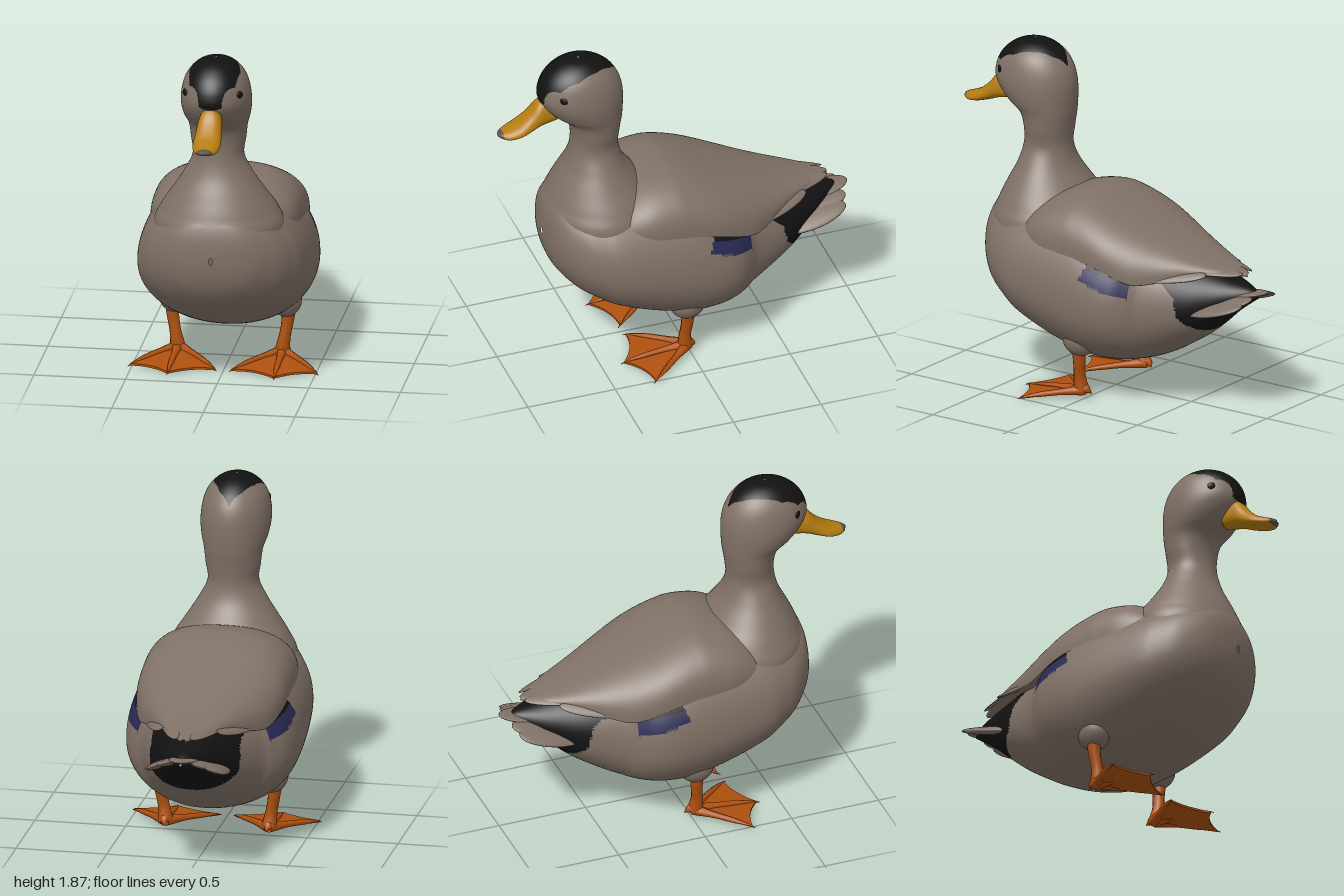
import * as THREE from 'three';

const mat = (name, color, side = THREE.FrontSide) => {
  const m = new THREE.MeshStandardMaterial({ color, side });
  m.name = name;
  return m;
};

// Smoothly sample a table of rows at t in 0..1
function sample(table, t) {
  const f = t * (table.length - 1);
  const i = Math.min(Math.floor(f), table.length - 2);
  const u = f - i;
  const row = k => table[Math.max(0, Math.min(table.length - 1, k))];
  return table[0].map((_, c) => {
    const [a, b, d, e] = [row(i - 1)[c], row(i)[c], row(i + 1)[c], row(i + 2)[c]];
    return b + 0.5 * u * (d - a + u * (2 * a - 5 * b + 4 * d - e + u * (3 * (b - d) + e - a)));
  });
}

// Piecewise linear lookup in rows of [key, value], keys ascending
function lookup(rows, k) {
  if (k <= rows[0][0]) return rows[0][1];
  for (let i = 1; i < rows.length; i++) {
    const [[a, va], [b, vb]] = [rows[i - 1], rows[i]];
    if (k <= b) return va + (vb - va) * (k - a) / (b - a);
  }
  return rows[rows.length - 1][1];
}

// Skin closed rings: point(row, angle) gives a position for each sampled row
function loft(table, rings, sides, point) {
  const pos = [], idx = [];
  for (let i = 0; i <= rings; i++) {
    const row = sample(table, i / rings);
    for (let j = 0; j < sides; j++) pos.push(...point(row, j / sides * Math.PI * 2));
  }
  for (let i = 0; i < rings; i++) for (let j = 0; j < sides; j++) {
    const a = i * sides + j, b = i * sides + (j + 1) % sides;
    idx.push(a, b, a + sides, b, b + sides, a + sides);
  }
  // Turn the faces outward if the enclosed volume is negative
  const v = k => new THREE.Vector3(pos[k * 3], pos[k * 3 + 1], pos[k * 3 + 2]);
  let volume = 0;
  for (let k = 0; k < idx.length; k += 3) volume += v(idx[k]).dot(v(idx[k + 1]).cross(v(idx[k + 2])));
  if (volume < 0) idx.reverse();
  const g = new THREE.BufferGeometry();
  g.setAttribute('position', new THREE.Float32BufferAttribute(pos, 3));
  g.setIndex(idx);
  g.computeVertexNormals();
  return g;
}

// Sort faces into material groups by a rule on the face centre
function paint(g, count, rule) {
  const p = g.attributes.position, old = g.index.array;
  const lists = Array.from({ length: count }, () => []);
  for (let k = 0; k < old.length; k += 3) {
    const tri = [old[k], old[k + 1], old[k + 2]];
    const mean = f => (f(tri[0]) + f(tri[1]) + f(tri[2])) / 3;
    lists[rule(mean(i => p.getX(i)), mean(i => p.getY(i)), mean(i => p.getZ(i)))].push(...tri);
  }
  g.setIndex(lists.flat());
  let start = 0;
  lists.forEach((l, m) => { g.addGroup(start, l.length, m); start += l.length; });
  return g;
}

const power = (c, e) => Math.sign(c) * Math.pow(Math.abs(c), e);

// Tube with a radius for each path point
function taper(points, radii, rings = 16, sides = 12) {
  const curve = new THREE.CatmullRomCurve3(points.map(p => new THREE.Vector3(...p)));
  const g = new THREE.TubeGeometry(curve, rings, 1, sides);
  const p = g.attributes.position, v = new THREE.Vector3();
  for (let i = 0; i < p.count; i++) {
    const t = Math.floor(i / (sides + 1)) / rings, c = curve.getPointAt(t);
    const r = sample(radii.map(x => [x]), t)[0];
    v.fromBufferAttribute(p, i).sub(c).multiplyScalar(r).add(c);
    p.setXYZ(i, v.x, v.y, v.z);
  }
  g.computeVertexNormals();
  return g;
}

export function createModel() {
  const duck = new THREE.Group();
  duck.name = 'duck';
  const plumage = mat('taupe plumage', 0x807166), black = mat('black plumage', 0x121212);
  const blue = mat('blue wing patch', 0x2a2a55), billMat = mat('yellow bill', 0xb57d0e);
  const skin = mat('orange skin', 0xae500f, THREE.DoubleSide), nail = mat('grey nail', 0x5a5148);
  const add = (name, g, m, parent = duck) => {
    const mesh = new THREE.Mesh(g, m);
    mesh.name = name;
    parent.add(mesh);
    return mesh;
  };

  // Body: z, top, bottom, half width
  const bodyRows = [
    [0.745, 0.80, 0.76, 0.01], [0.73, 0.92, 0.66, 0.14], [0.69, 1.0, 0.565, 0.25], [0.6, 1.04, 0.46, 0.355],
    [0.5, 1.05, 0.39, 0.415], [0.4, 1.06, 0.33, 0.45], [0.2, 1.07, 0.25, 0.47], [0, 1.06, 0.2, 0.475],
    [-0.15, 1.01, 0.205, 0.465], [-0.25, 0.97, 0.225, 0.435], [-0.32, 0.93, 0.245, 0.385],
    [-0.37, 0.91, 0.265, 0.34], [-0.45, 0.88, 0.305, 0.3], [-0.6, 0.82, 0.4, 0.235], [-0.7, 0.79, 0.48, 0.18],
    [-0.8, 0.76, 0.57, 0.12], [-0.9, 0.73, 0.645, 0.05], [-0.95, 0.7, 0.68, 0.005]];
  const body = loft(bodyRows, 170, 120, ([z, top, bot, w], a) => {
    const mid = bot + 0.45 * (top - bot), s = Math.sin(a);
    return [w * power(Math.cos(a), 0.95), mid + power(s, 0.95) * (s > 0 ? top - mid : mid - bot), z];
  });
  const rumpEdge = [[0.44, -0.69], [0.46, -0.68], [0.55, -0.58], [0.67, -0.55], [0.74, -0.47]];
  add('body', paint(body, 3, (x, y, z) => {
    if (z < lookup(rumpEdge, y)) return 1;
    const drop = y - (0.73 + 0.3 * (z + 0.06));
    if (z < -0.06 - drop * 0.4 && z > -0.33 && drop > 0 && drop < 0.15) return drop > 0.075 ? 1 : 2;
    return 0;
  }), [plumage, black, blue]);

  // Neck and head: y, front z, back z, half width
  const neckRows = [
    [0.7, 0.68, 0.1, 0.35], [0.9, 0.725, 0.12, 0.355], [1.0, 0.7, 0.14, 0.315], [1.1, 0.655, 0.22, 0.25],
    [1.2, 0.605, 0.29, 0.187], [1.3, 0.58, 0.317, 0.14], [1.4, 0.577, 0.31, 0.15], [1.48, 0.605, 0.297, 0.16],
    [1.54, 0.68, 0.292, 0.178], [1.6, 0.735, 0.29, 0.189], [1.66, 0.765, 0.293, 0.19], [1.72, 0.76, 0.307, 0.181],
    [1.77, 0.738, 0.332, 0.165], [1.81, 0.706, 0.364, 0.14], [1.845, 0.66, 0.41, 0.104],
    [1.868, 0.605, 0.465, 0.06], [1.877, 0.54, 0.53, 0.004]];
  const neck = loft(neckRows, 170, 120, ([y, f, b, w], a) =>
    [w * Math.cos(a), y, (f + b) / 2 + (f - b) / 2 * Math.sin(a)]);
  const capWidth = [[0.32, 0], [0.38, 0.06], [0.47, 0.11], [0.58, 0.14], [0.68, 0.125], [0.73, 0.08], [0.77, 0.05]];
  const capEdge = [[0.32, 1.73], [0.38, 1.805], [0.6, 1.8], [0.68, 1.75], [0.73, 1.7], [0.77, 1.62]];
  add('neckAndHead', paint(neck, 2, (x, y, z) =>
    Math.abs(x) < lookup(capWidth, z) && y > lookup(capEdge, z) ? 1 : 0), [plumage, black]);

  // Bill: z, top, bottom, half width
  const billRows = [
    [0.67, 1.66, 1.51, 0.055], [0.76, 1.645, 1.495, 0.066], [0.82, 1.58, 1.475, 0.071], [0.88, 1.53, 1.458, 0.076],
    [0.94, 1.502, 1.45, 0.064], [0.98, 1.488, 1.457, 0.038], [1.0, 1.477, 1.467, 0.005]];
  const bill = loft(billRows, 60, 40, ([z, top, bot, w], a) => {
    const mid = bot + 0.35 * (top - bot), s = Math.sin(a);
    return [w * power(Math.cos(a), 0.8), mid + s * (s > 0 ? top - mid : mid - bot), z];
  });
  add('bill', paint(bill, 2, (x, y, z) => z > 0.972 ? 1 : 0), [billMat, nail]);

  // Folded wings over the back: z, half width, edge y, top y
  const wingRows = [
    [0.45, 0.24, 0.88, 0.93], [0.38, 0.345, 0.86, 1.02], [0.25, 0.4, 0.85, 1.1], [0.1, 0.412, 0.84, 1.13],
    [0, 0.412, 0.83, 1.115], [-0.1, 0.41, 0.815, 1.08], [-0.2, 0.4, 0.785, 1.038], [-0.34, 0.36, 0.735, 0.98],
    [-0.45, 0.3, 0.745, 0.935], [-0.6, 0.205, 0.79, 0.88], [-0.75, 0.115, 0.8, 0.838], [-0.88, 0.01, 0.8, 0.808]];
  add('foldedWings', loft(wingRows, 70, 72, ([z, w, edge, top], a) => {
    const s = Math.sin(a);
    return [w * power(Math.cos(a), 0.8), edge + power(s, 0.8) * (s > 0 ? top - edge : 0.012), z];
  }), plumage);

  // Flat feather between two points
  const feather = (name, from, to, width, thick, roll) => {
    const a = new THREE.Vector3(...from), b = new THREE.Vector3(...to);
    const f = add(name, new THREE.SphereGeometry(1, 24, 16), plumage);
    f.scale.set(width, thick, a.distanceTo(b) / 2);
    f.position.copy(a).add(b).multiplyScalar(0.5);
    f.lookAt(b);
    f.rotateZ(roll);
  };
  feather('middleTailFeather', [0, 0.66, -0.7], [0, 0.715, -1.0], 0.08, 0.018, 0);

  for (const s of [1, -1]) {
    const side = s > 0 ? 'left' : 'right';
    feather(side + 'OuterTailFeather', [s * 0.15, 0.575, -0.56], [s * 0.15, 0.665, -0.94], 0.08, 0.022, s * 0.35);
    feather(side + 'InnerTailFeather', [s * 0.08, 0.61, -0.6], [s * 0.09, 0.69, -0.96], 0.08, 0.022, s * 0.3);
    feather(side + 'LongWingFeather', [s * 0.3, 0.76, -0.32], [s * 0.155, 0.805, -0.71], 0.05, 0.014, s * 0.6);
    feather(side + 'WingTipFeather', [s * 0.2, 0.83, -0.45], [s * 0.04, 0.808, -0.87], 0.045, 0.012, s * 0.4);

    const eye = add(side + 'Eye', new THREE.SphereGeometry(1, 16, 12), black);
    eye.scale.set(0.008, 0.02, 0.022);
    eye.position.set(s * 0.148, 1.71, 0.67);
    eye.rotation.y = s * -0.75;

    // Thigh and leg
    const thigh = add(side + 'Thigh', new THREE.SphereGeometry(1, 28, 20), plumage);
    thigh.scale.set(0.085, 0.095, 0.1);
    thigh.position.set(s * 0.305, 0.345, 0.02);
    add(side + 'Leg', taper([[s * 0.32, 0.32, 0.02], [s * 0.312, 0.22, 0.022], [s * 0.295, 0.12, 0.03],
      [s * 0.285, 0.05, 0.025]], [0.042, 0.034, 0.032, 0.042]), skin);

    // Webbed foot with scalloped front edge
    const ankle = [s * 0.285, 0.0];
    const tips = [[s * 0.51, 0.27], [s * 0.29, 0.375], [s * 0.045, 0.28]];
    const web = new THREE.Shape();
    web.moveTo(...ankle);
    web.lineTo(...tips[0]);
    web.quadraticCurveTo(s * 0.385, 0.28, ...tips[1]);
    web.quadraticCurveTo(s * 0.18, 0.28, ...tips[2]);
    web.lineTo(...ankle);
    const webGeo = new THREE.ExtrudeGeometry(web, { depth: 0.012, bevelEnabled: false, curveSegments: 8 });
    webGeo.rotateX(Math.PI / 2);
    const p = webGeo.attributes.position;
    for (let i = 0; i < p.count; i++) {
      const d = Math.hypot(p.getX(i) - ankle[0], p.getZ(i));
      p.setY(i, p.getY(i) + 0.02 + 0.035 * Math.max(0, 1 - d / 0.36));
    }
    webGeo.computeVertexNormals();
    add(side + 'Web', webGeo, skin);
    tips.forEach(([x, z], i) => add(side + 'Toe' + (i + 1), taper(
      [[ankle[0], 0.05, 0.01], [(x + ankle[0]) / 2, 0.04, z / 2], [x, 0.016, z], [x + (x - ankle[0]) * 0.04, 0.008, z * 1.05]],
      [0.03, 0.018, 0.014, 0.002]), skin));
    add(side + 'HindToe', taper([[ankle[0], 0.07, 0.02], [ankle[0], 0.055, -0.01], [ankle[0] - s * 0.01, 0.035, -0.035]],
      [0.03, 0.022, 0.002]), skin);
  }
  return duck;
}
